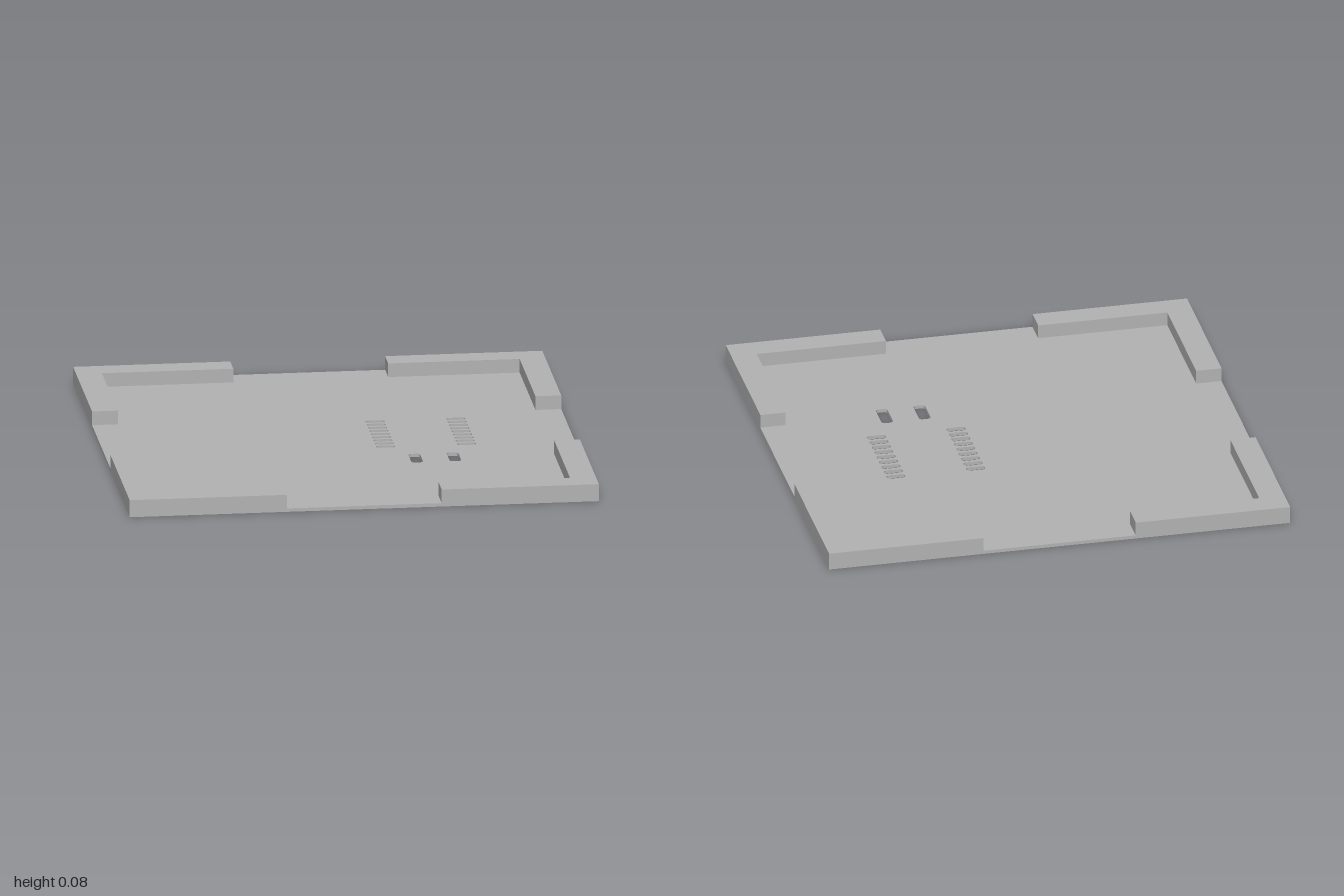
import * as THREE from 'three';

const PLATE = 0.015, TOP = 0.075;

// Rounded slot outline centred on (x, z)
function slot(x, z, w, d, r) {
  const p = new THREE.Path(), a = w / 2 - r, b = d / 2 - r;
  p.absarc(x + a, z + b, r, 0, Math.PI / 2);
  p.absarc(x - a, z + b, r, Math.PI / 2, Math.PI);
  p.absarc(x - a, z - b, r, Math.PI, Math.PI * 1.5);
  p.absarc(x + a, z - b, r, Math.PI * 1.5, Math.PI * 2);
  p.closePath();
  return p;
}

// Extrude an (x, z) outline between two heights
function slab(shape, y0, y1) {
  const g = new THREE.ExtrudeGeometry(shape, { depth: y1 - y0, bevelEnabled: false, curveSegments: 6 });
  return g.rotateX(Math.PI / 2).translate(0, y1, 0);
}

const outline = (pts) => new THREE.Shape(pts.map(([x, z]) => new THREE.Vector2(x, z)));

export function createModel() {
  const model = new THREE.Group();
  model.name = 'ventedTray';
  const grey = new THREE.MeshStandardMaterial({ color: 0xb3b3b3 });
  grey.name = 'grey';

  // Base plate with two vent columns and two larger slots
  const base = outline([[-1, -1], [1, -1], [1, 1], [-1, 1]]);
  for (const x of [0.195, 0.54])
    for (let i = 0; i < 9; i++) base.holes.push(slot(x, -0.24 + i * 0.0469, 0.08, 0.032, 0.012));
  for (const x of [0.301, 0.464]) base.holes.push(slot(x, 0.321, 0.05, 0.13, 0.015));
  const plate = new THREE.Mesh(slab(base, 0, PLATE), grey);
  plate.name = 'basePlate';
  model.add(plate);

  // L-shaped raised rims at the four corners
  const rim = slab(outline([[0.33, 1], [0.33, 0.89], [0.89, 0.89], [0.89, 0.33], [1, 0.33], [1, 1]]), PLATE, TOP);
  ['frontLeft', 'backLeft', 'backRight', 'frontRight'].forEach((name, i) => {
    const corner = new THREE.Mesh(rim, grey);
    corner.name = name + 'CornerRim';
    corner.rotation.y = i * Math.PI / 2;
    model.add(corner);
  });
  return model;
}
